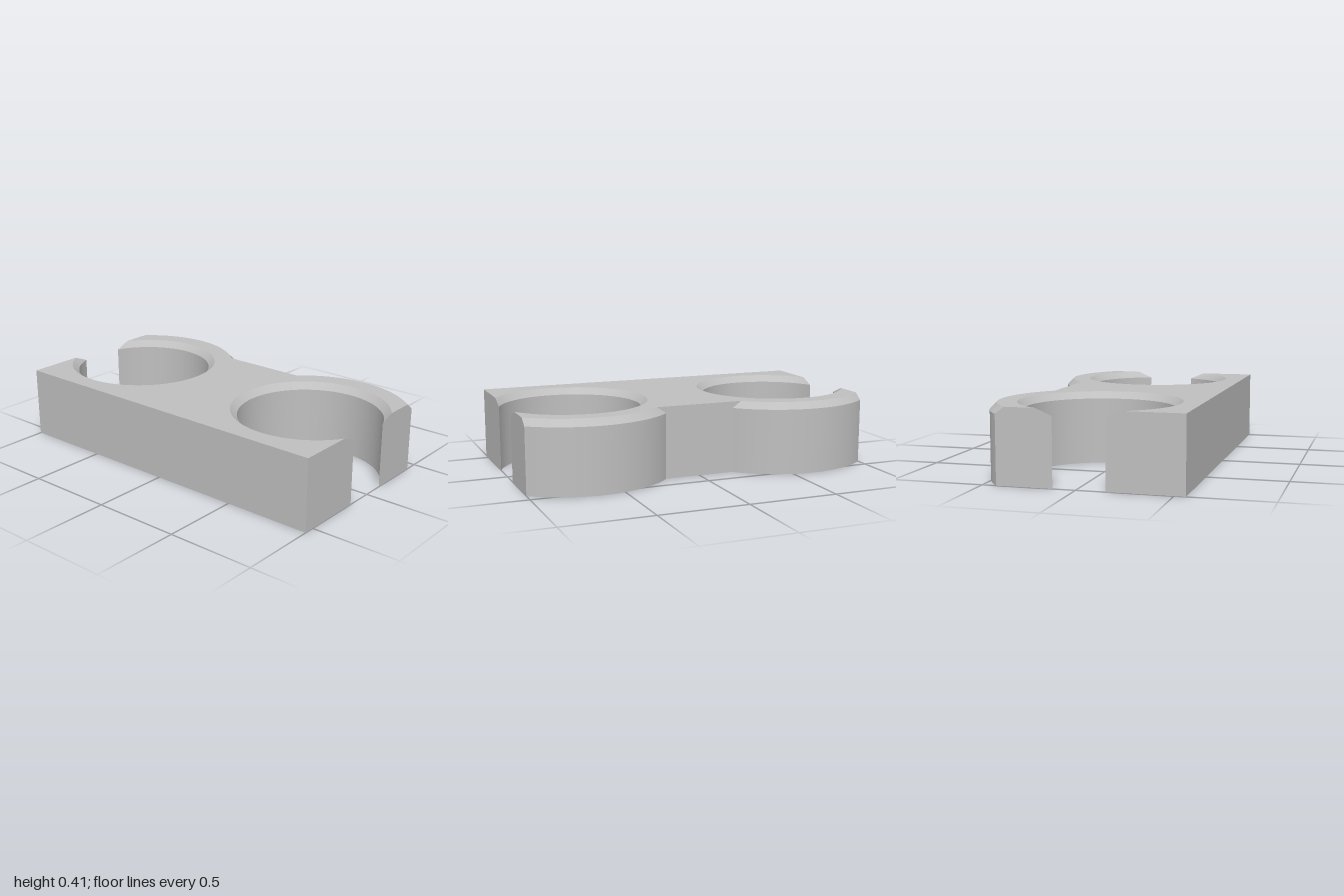
import * as THREE from 'three';
import { toCreasedNormals } from 'three/addons/utils/BufferGeometryUtils.js';

const CX = 0.627, CZ = 0.018;          // ring centre (mirrored in x)
const FRONT = 0.56, BACK = -0.372;     // straight front and back edges
const HEIGHT = 0.405, BEVEL_Y = 0.368; // top face and start of the bevel

// Points [x, z] on a circle round the ring centre
function arc(r, from, to, n) {
  return Array.from({ length: n + 1 }, (_, i) => {
    const a = from + (to - from) * i / n;
    return [CX + r * Math.cos(a), CZ + r * Math.sin(a)];
  });
}

// Closed outline of the holder, counterclockwise seen from above
function outline(inner, outer) {
  const a = Math.acos((1 - CX) / inner);
  const b = Math.acos((1 - CX) / outer);
  const c = Math.PI - Math.asin((CZ - BACK) / outer);
  const half = [[1, FRONT], ...arc(inner, a, 2 * Math.PI - a, 72), ...arc(outer, -b, -c, 36)];
  return [...half, ...half.map(([x, z]) => [-x, z]).reverse()];
}

function holderGeometry() {
  const wide = outline(0.398, 0.578), bevelled = outline(0.436, 0.541);
  const levels = [[wide, 0], [wide, BEVEL_Y], [bevelled, HEIGHT]];
  const pos = [];
  const put = ([x, z], y) => pos.push(x, y, z);

  // Walls and bevels between neighbouring levels
  for (let k = 0; k < 2; k++) {
    const [lo, y0] = levels[k], [hi, y1] = levels[k + 1];
    lo.forEach((p, i) => {
      const j = (i + 1) % lo.length;
      put(p, y0); put(lo[j], y0); put(hi[j], y1);
      put(p, y0); put(hi[j], y1); put(hi[i], y1);
    });
  }

  // Top and bottom faces
  const cap = (pts, y, flip) => {
    const flat = pts.map(([x, z]) => new THREE.Vector2(x, -z));
    for (const t of THREE.ShapeUtils.triangulateShape(flat, [])) {
      (flip ? [t[2], t[1], t[0]] : t).forEach(i => put(pts[i], y));
    }
  };
  cap(bevelled, HEIGHT, false);
  cap(wide, 0, true);

  const geo = new THREE.BufferGeometry();
  geo.setAttribute('position', new THREE.Float32BufferAttribute(pos, 3));
  return toCreasedNormals(geo, Math.PI / 7);
}

export function createModel() {
  const group = new THREE.Group();
  group.name = 'doubleRingClip';
  const grey = new THREE.MeshStandardMaterial({ color: 0xbfbfbf });
  grey.name = 'light grey';
  const body = new THREE.Mesh(holderGeometry(), grey);
  body.name = 'clipBody';
  group.add(body);
  return group;
}
